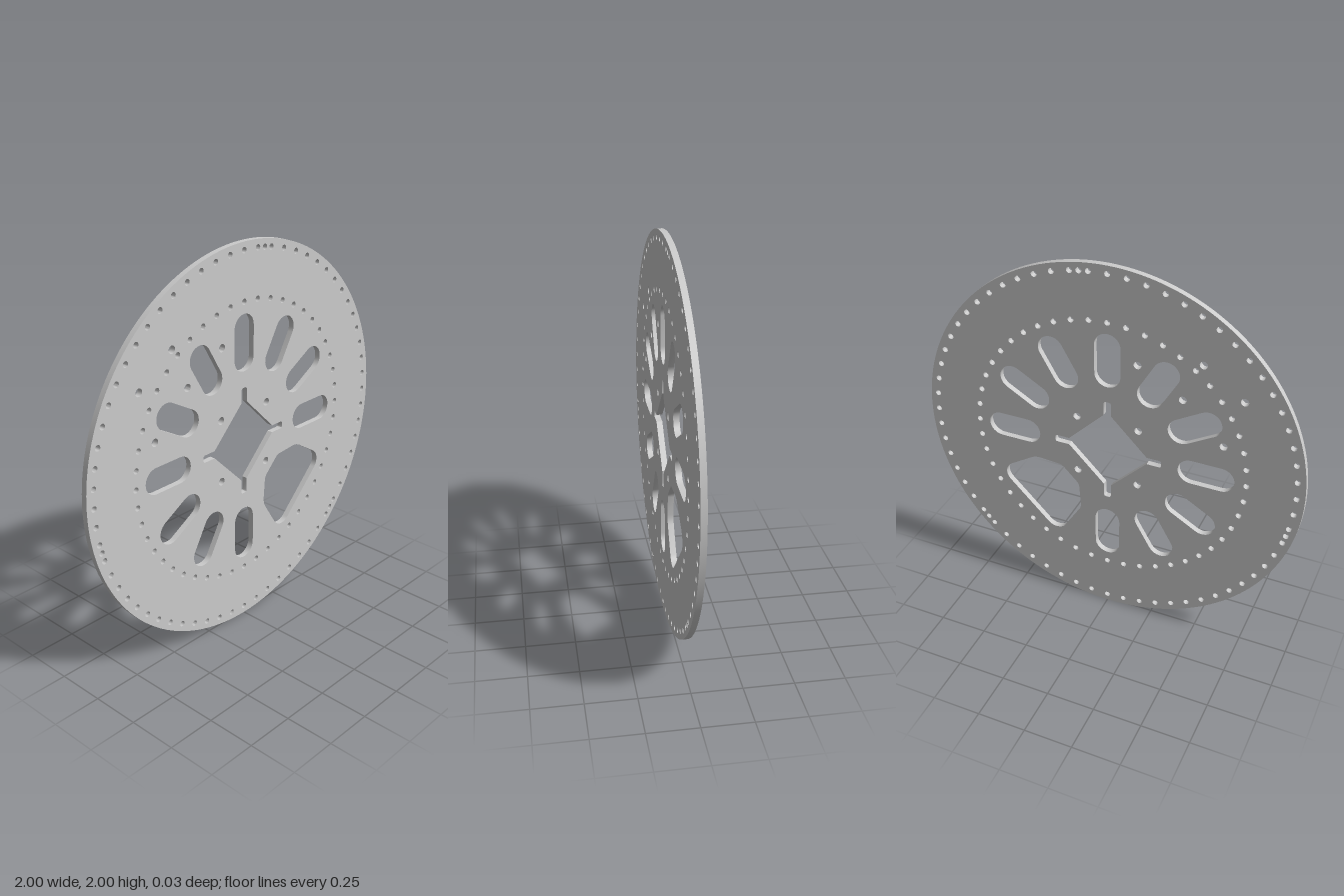
import * as THREE from 'three';
import { toCreasedNormals } from 'three/addons/utils/BufferGeometryUtils.js';

const THICKNESS = 0.03;
const rad = THREE.MathUtils.degToRad;
const V = (x, y) => new THREE.Vector2(x, y);
const polar = (r, deg) => V(r * Math.cos(rad(deg)), r * Math.sin(rad(deg)));

// Points along an arc, angles in degrees
function arc(c, r, from, to, n) {
  return Array.from({ length: n + 1 }, (_, i) => polar(r, from + ((to - from) * i) / n).add(c));
}
const circle = (c, r, n) => arc(c, r, 0, 360, n).slice(0, n);

// Radial slot with round ends
function slot(deg) {
  const r = 0.067;
  return [
    ...arc(polar(0.59, deg), r, deg - 90, deg + 90, 16),
    ...arc(polar(0.437, deg), r, deg + 90, deg + 270, 16),
  ];
}

// Square opening on its corner, with a narrow relief notch at each corner
function centreOpening() {
  const notch = [[0.209, -0.019], [0.276, -0.019], [0.282, -0.016], [0.285, -0.01],
    [0.285, 0.01], [0.282, 0.016], [0.276, 0.019], [0.209, 0.019]];
  return [0, 90, 180, 270].flatMap((a) =>
    notch.map(([x, y]) => V(x, y).rotateAround(V(0, 0), rad(a))));
}

// Wide window in the lower quarter, symmetric about its diagonal
function window() {
  const half = [
    ...arc(polar(0.59, -30), 0.067, -45, 60, 12),
    V(0.422, -0.16), V(0.405, -0.153), V(0.388, -0.15), V(0.37, -0.15),
    V(0.268, -0.158), V(0.253, -0.162), V(0.24, -0.172),
  ];
  const mirrored = half.map((p) => V(-p.y, -p.x)).reverse();
  return [...half, ...mirrored];
}

export function createModel() {
  const group = new THREE.Group();
  group.name = 'perforatedDisc';

  const shape = new THREE.Shape(circle(V(0, 0), 1, 160));
  const cut = (points) => shape.holes.push(new THREE.Path(points));
  const drill = (c, r) => cut(circle(c, r, 16));

  cut(centreOpening());
  cut(window());

  // Ten slots; the window takes the place of the other two
  for (let a = 0; a < 360; a += 30) if (a !== 300 && a !== 330) cut(slot(a));

  // Rim holes with three half-step index holes
  const step = 360 / 64;
  for (let i = 0; i < 64; i++) drill(polar(0.96, i * step), 0.015);
  for (const i of [14.5, 34.5, 56.5]) drill(polar(0.96, i * step), 0.015);

  // Inner ring of holes
  for (let i = 0; i < 48; i++) drill(polar(0.716, i * 7.5), 0.015);

  // Mounting holes around the centre
  for (const x of [-0.162, 0.162]) for (const y of [-0.162, 0.162]) drill(V(x, y), 0.02);

  // Extra mounting holes in the upper quarter
  for (const [x, y] of [[-0.674, 0.46], [-0.471, 0.604], [-0.38, 0.396], [-0.152, 0.527], [-0.591, 0.193]]) {
    drill(V(x, y), 0.02);
  }

  const geometry = new THREE.ExtrudeGeometry(shape, { depth: THICKNESS, bevelEnabled: false });
  geometry.translate(0, 1, -THICKNESS / 2);
  const disc = new THREE.Mesh(
    toCreasedNormals(geometry, rad(30)),
    new THREE.MeshStandardMaterial({ color: 0xcccccc }),
  );
  disc.name = 'disc';
  group.add(disc);
  return group;
}
